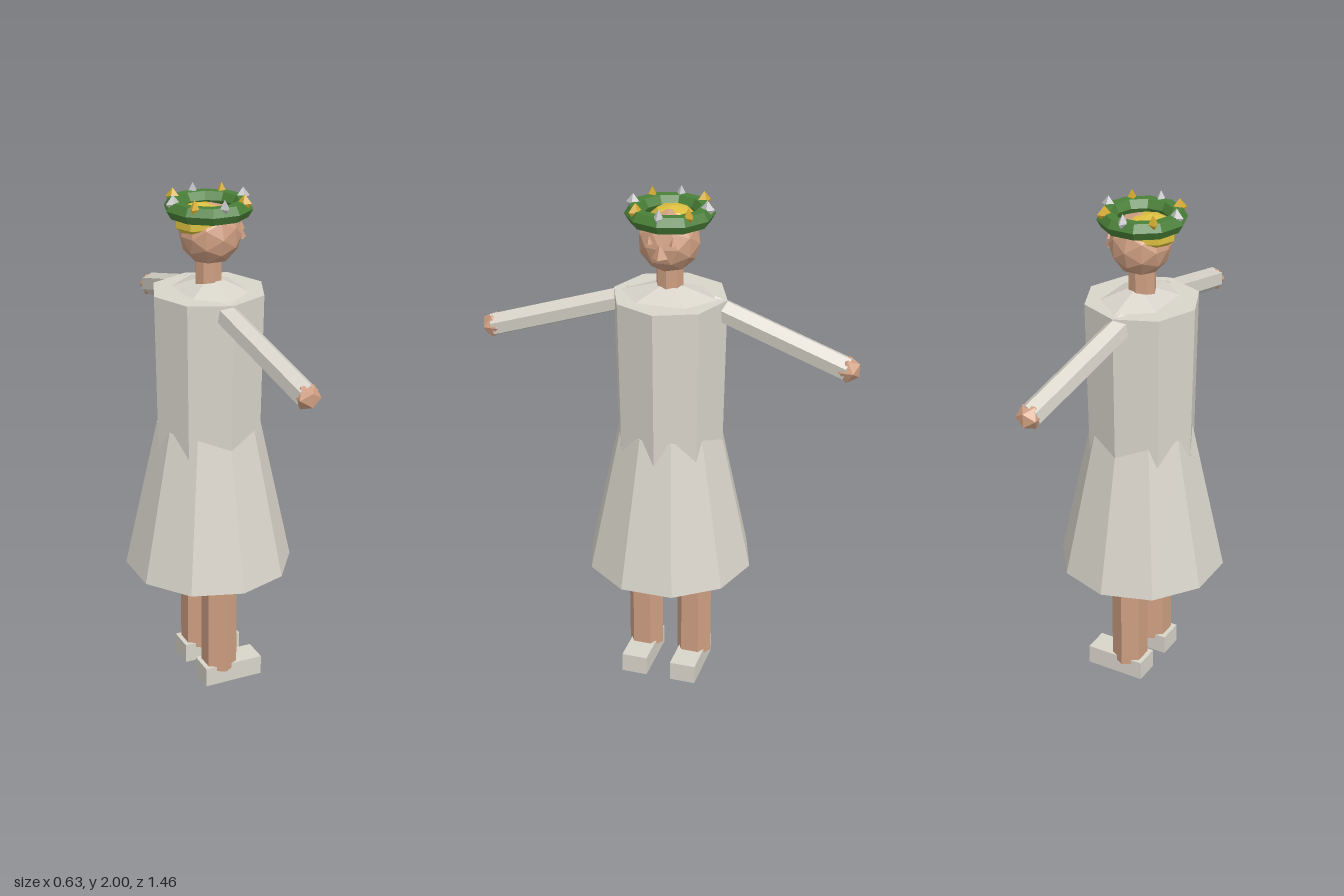
import * as THREE from 'three';

const mat = (name, color) => {
  const m = new THREE.MeshStandardMaterial({ color, flatShading: true });
  m.name = name;
  return m;
};

export function createModel() {
  const group = new THREE.Group();
  const cloth = mat('pale cloth', 0xd8d4ca);
  const skin = mat('skin', 0xcf9f82);
  const blond = mat('blond', 0xdcc040);
  const green = mat('leaf green', 0x4a8038);
  const gold = mat('gold', 0xd6ab2e);
  const silver = mat('silver', 0xc4c4c6);

  const add = (name, geo, material, x, y, z) => {
    const mesh = new THREE.Mesh(geo, material);
    mesh.name = name;
    mesh.position.set(x, y, z);
    group.add(mesh);
    return mesh;
  };
  // upright prism or cone between two heights
  const column = (name, material, rTop, rBottom, y0, y1, sides, x = 0, z = 0) =>
    add(name, new THREE.CylinderGeometry(rTop, rBottom, y1 - y0, sides), material, x, (y0 + y1) / 2, z);

  // dress
  column('skirt', cloth, 0.2, 0.33, 0.5, 1.1, 10);
  column('torso', cloth, 0.22, 0.21, 1.0, 1.627, 8);
  column('collar', cloth, 0.045, 0.21, 1.62, 1.67, 6, 0.01).scale.x = 0.72;

  // head and face, looking towards +x
  column('neck', skin, 0.052, 0.052, 1.64, 1.77, 8);
  add('head', new THREE.IcosahedronGeometry(0.117, 1), skin, 0.008, 1.84, 0);
  add('nose', new THREE.ConeGeometry(0.03, 0.055, 4), skin, 0.125, 1.838, 0);
  const hair = add('hair', new THREE.SphereGeometry(0.105, 8, 5), blond, -0.03, 1.895, 0);
  hair.scale.set(1, 0.62, 0.93);

  // wreath with alternating silver and gold points
  add('wreath', new THREE.TorusGeometry(0.131, 0.035, 6, 10).rotateX(Math.PI / 2), green, 0, 1.94, 0);
  for (let i = 0; i < 8; i++) {
    const a = (i * Math.PI) / 4;
    const spike = add('wreathPoint', new THREE.OctahedronGeometry(1), i % 2 ? gold : silver,
      0.14 * Math.cos(a), 1.966, -0.14 * Math.sin(a));
    spike.scale.set(0.028, 0.034, 0.019);
    spike.rotation.y = a;
  }

  // mirrored parts
  for (const s of [1, -1]) {
    const side = s < 0 ? 'left' : 'right';
    add(side + 'Eye', new THREE.ConeGeometry(0.015, 0.03, 4), skin, 0.112, 1.872, s * 0.045);

    const start = new THREE.Vector3(-0.015, 1.592, s * 0.16);
    const end = new THREE.Vector3(0.055, 1.438, s * 0.69);
    const dir = end.clone().sub(start);
    const mid = start.clone().add(end).multiplyScalar(0.5);
    const arm = add(side + 'Arm', new THREE.CylinderGeometry(0.046, 0.046, dir.length(), 6), cloth, mid.x, mid.y, mid.z);
    arm.quaternion.setFromUnitVectors(new THREE.Vector3(0, 1, 0), dir.normalize());
    add(side + 'Hand', new THREE.IcosahedronGeometry(0.049, 0), skin, end.x, end.y, end.z);

    column(side + 'Leg', skin, 0.071, 0.071, 0.06, 0.58, 6, 0, s * 0.102);
    add(side + 'Shoe', new THREE.BoxGeometry(0.245, 0.08, 0.104), cloth, 0.043, 0.04, s * 0.102);
  }
  return group;
}
